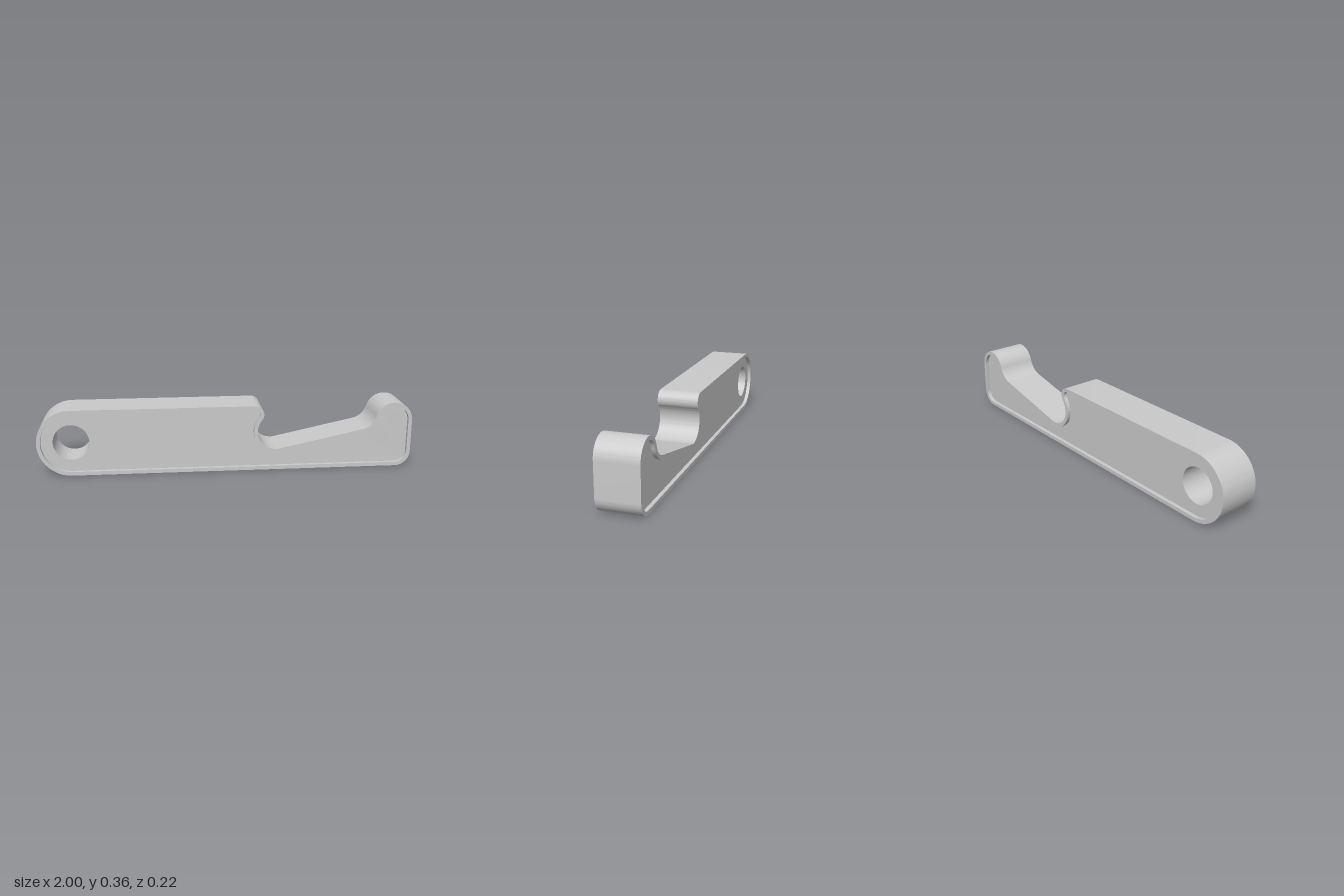
import * as THREE from 'three';
import { toCreasedNormals } from 'three/addons/utils/BufferGeometryUtils.js';

const HEIGHT = 0.356, WIDTH = 0.218, RIM = 0.02, RECESS = 0.02;
const SLOPE = THREE.MathUtils.degToRad(12);

// Centres and radii of the tangent arcs that make up the profile
const end = { x: -0.822, y: HEIGHT / 2, r: HEIGHT / 2 };
const nose = { x: 0.147, y: 0.308, r: 0.048 };
const hook = { x: 0.262, y: 0.215, r: 0.1 };
const fillet = { x: 0.707, y: 0.31, r: 0.1 };
const tip = { x: 0.9, y: 0.256, r: 0.1 };
const corner = { x: 0.92, y: 0.08, r: 0.08 };

const angle = (a, b) => Math.atan2(b.y - a.y, b.x - a.x);

// Closed clockwise profile, moved inwards by inset
function outline(inset) {
  const points = [];
  const arc = (c, from, to, concave = false) => {
    const r = concave ? c.r + inset : c.r - inset;
    const steps = Math.ceil(Math.abs(to - from) / 0.05);
    for (let i = 0; i <= steps; i++) {
      const t = from + (to - from) * i / steps;
      const p = new THREE.Vector2(c.x + r * Math.cos(t), c.y + r * Math.sin(t));
      const last = points[points.length - 1];
      if (!last || last.distanceTo(p) > 0.0012) points.push(p);
    }
  };
  const a = angle(nose, hook), b = angle(fillet, tip), q = Math.PI / 2;
  arc(nose, q, a);
  arc(hook, a + Math.PI, 3 * q + SLOPE, true);
  arc(fillet, SLOPE - q, b, true);
  arc(tip, b + Math.PI, 0);
  arc(corner, 0, -q);
  arc(end, -q, -3 * q);
  return points;
}

// Extrude a shape centred on z = 0, smooth around the curves
function slab(shape, depth, material, name) {
  const geometry = new THREE.ExtrudeGeometry(shape, { depth, bevelEnabled: false, curveSegments: 48 });
  geometry.translate(0, 0, -depth / 2);
  const mesh = new THREE.Mesh(toCreasedNormals(geometry, 0.5), material);
  mesh.name = name;
  return mesh;
}

export function createModel() {
  const group = new THREE.Group();
  group.name = 'hookLever';
  const grey = new THREE.MeshStandardMaterial({ color: 0xcacaca });
  grey.name = 'grey';

  // Raised rim around the whole profile; its opening winds the other way
  const rim = new THREE.Shape(outline(0));
  rim.holes.push(new THREE.Path(outline(RIM).reverse()));
  group.add(slab(rim, WIDTH, grey, 'rim'));

  // Recessed body with the ring hole
  const body = new THREE.Shape(outline(RIM));
  body.holes.push(new THREE.Path().absarc(end.x, end.y, 0.095, 0, Math.PI * 2));
  group.add(slab(body, WIDTH - 2 * RECESS, grey, 'body'));

  return group;
}
